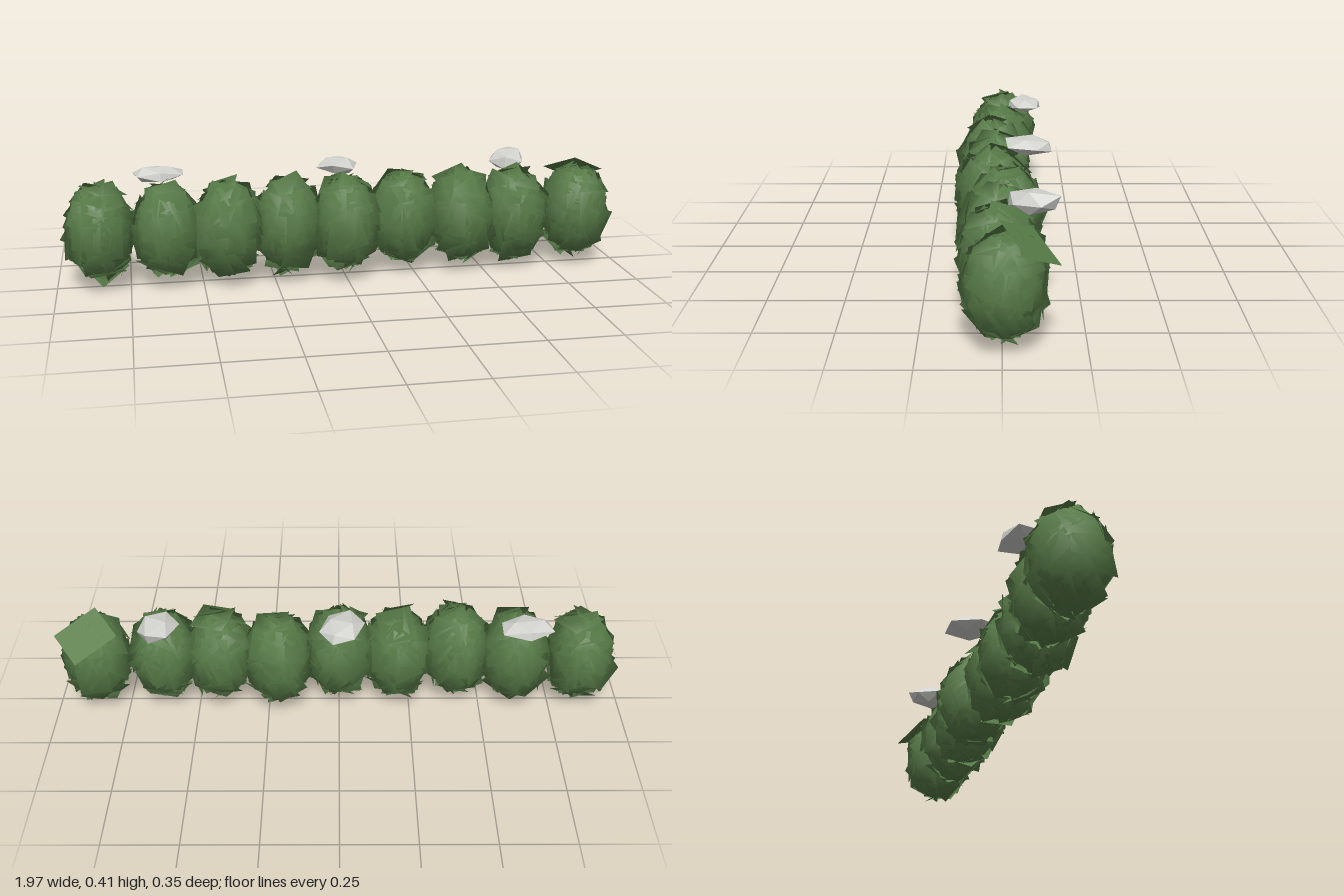
import * as THREE from 'three';

const foliage = new THREE.MeshStandardMaterial({ color: 0x587c48, side: THREE.DoubleSide });
foliage.name = 'hedge green';
const stone = new THREE.MeshStandardMaterial({ color: 0xd2d2ce, flatShading: true });
stone.name = 'pale grey';

function seeded(seed) {
  let s = seed;
  return () => {
    s = (s * 16807) % 2147483647;
    return s / 2147483647;
  };
}

// Square leaf cards laid over an ellipsoid, shaded as if part of it
function leafCards(radii, count, rand) {
  const pos = [], nor = [], index = [];
  const up = new THREE.Vector3(0, 0, 1);
  for (let i = 0; i < count; i++) {
    const y = 1 - (2 * (i + 0.5)) / count;
    const ring = Math.sqrt(1 - y * y);
    const a = i * 2.39996 + rand() * 0.3;
    const dir = new THREE.Vector3(Math.cos(a) * ring, y, Math.sin(a) * ring);
    const centre = dir.clone().multiply(radii).multiplyScalar(0.95 + rand() * 0.06);
    const normal = dir.clone().divide(radii).normalize();
    const tilted = normal.clone().add(new THREE.Vector3(rand() - 0.5, rand() - 0.5, rand() - 0.5).multiplyScalar(0.45)).normalize();
    const turn = new THREE.Quaternion().setFromUnitVectors(up, tilted);
    const spin = (rand() - 0.5) * 0.9;
    const half = 0.04 + rand() * 0.022;
    for (const [u, v] of [[-1, -1], [1, -1], [1, 1], [-1, 1]]) {
      const p = new THREE.Vector3(u * half, v * half, 0).applyAxisAngle(up, spin).applyQuaternion(turn).add(centre);
      const n = p.clone().divide(radii).divide(radii).normalize();
      pos.push(p.x, p.y, p.z);
      nor.push(n.x, n.y, n.z);
    }
    const k = i * 4;
    index.push(k, k + 1, k + 2, k, k + 2, k + 3);
  }
  const g = new THREE.BufferGeometry();
  g.setAttribute('position', new THREE.Float32BufferAttribute(pos, 3));
  g.setAttribute('normal', new THREE.Float32BufferAttribute(nor, 3));
  g.setIndex(index);
  return g;
}

// Flattened, slightly irregular faceted chunk
function chunkGeometry(sx, sy, sz, seed) {
  const g = new THREE.IcosahedronGeometry(1, 0);
  const p = g.attributes.position;
  for (let i = 0; i < p.count; i++) {
    const x = p.getX(i), y = p.getY(i), z = p.getZ(i);
    const k = 1 + 0.12 * Math.sin(x * 4 + y * 3 + z * 5 + seed);
    p.setXYZ(i, x * sx * k, y * sy * k, z * sz * k);
  }
  g.computeVertexNormals();
  return g;
}

export function createModel() {
  const group = new THREE.Group();

  // Row of nine bushes: x, z
  const bushes = [
    [-0.85, 0], [-0.62, 0.01], [-0.415, 0.035], [-0.205, 0.02], [0, 0.03],
    [0.215, -0.015], [0.42, 0.01], [0.615, 0.01], [0.85, -0.005],
  ];
  const radii = new THREE.Vector3(0.105, 0.15, 0.112);
  bushes.forEach(([x, z], i) => {
    const bush = new THREE.Group();
    bush.name = 'bush' + (i + 1);
    const core = new THREE.Mesh(new THREE.SphereGeometry(1, 20, 14), foliage);
    core.name = 'bushCore';
    core.scale.copy(radii).multiplyScalar(0.96);
    const leaves = new THREE.Mesh(leafCards(radii, 60, seeded(977 + i * 131)), foliage);
    leaves.name = 'leafCards';
    bush.add(core, leaves);
    bush.position.set(x, 0.185, z);
    group.add(bush);
  });

  // Large loose leaf at the left end
  const loose = new THREE.Mesh(new THREE.PlaneGeometry(0.17, 0.14), foliage);
  loose.name = 'looseLeaf';
  loose.position.set(0.868, 0.318, -0.08);
  loose.quaternion.setFromUnitVectors(new THREE.Vector3(0, 0, 1), new THREE.Vector3(0.1, 0.8, -0.5).normalize());
  loose.rotateZ(0.45);
  group.add(loose);

  // Pale chunks resting along the top: x, y, z, half sizes, turn
  const chunks = [
    [-0.64, 0.358, -0.088, 0.098, 0.028, 0.07, 0.1],
    [-0.008, 0.361, -0.094, 0.07, 0.03, 0.092, -0.35],
    [0.617, 0.36, -0.094, 0.072, 0.042, 0.092, -0.35],
  ];
  chunks.forEach(([x, y, z, sx, sy, sz, turn], i) => {
    const chunk = new THREE.Mesh(chunkGeometry(sx, sy, sz, i * 2), stone);
    chunk.name = 'topChunk' + (i + 1);
    chunk.position.set(x, y, z);
    chunk.rotation.y = turn;
    group.add(chunk);
  });
  return group;
}
